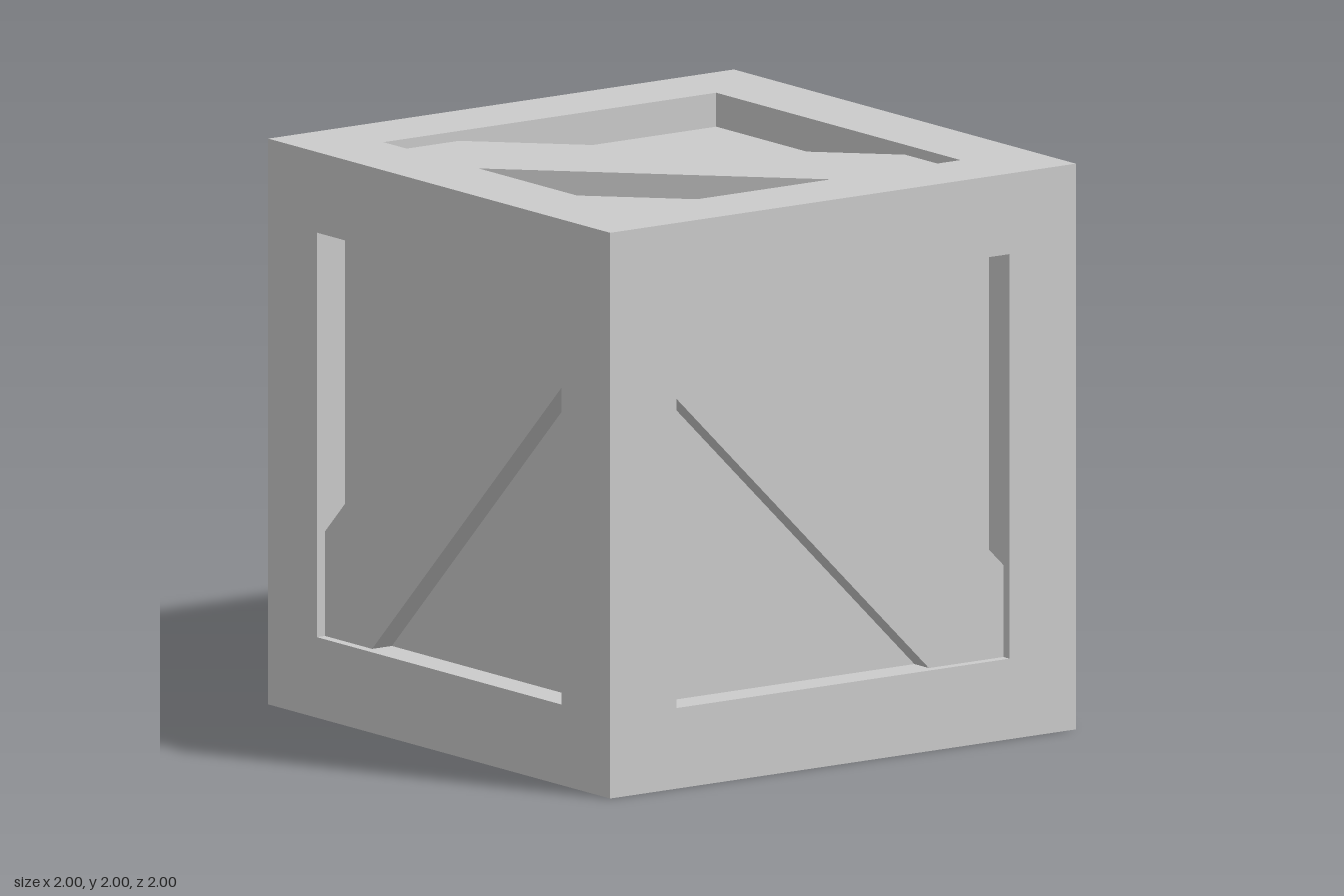
import * as THREE from 'three';

const H = 0.715;      // half width of each opening
const PANEL = 0.88;   // distance of the recessed panel from the centre
const PLANK = 0.965;  // distance of the plank surface from the centre

const material = new THREE.MeshStandardMaterial({ color: 0xcccccc, flatShading: true });

function part(name, geometry) {
  const mesh = new THREE.Mesh(geometry, material);
  mesh.name = name;
  return mesh;
}

// Square rim with the inner walls of its opening: a four-sided lathe
function rimGeometry() {
  const profile = [[1, 1], [H, 1], [H, PANEL]]
    .map(([r, y]) => new THREE.Vector2(r * Math.SQRT2, y));
  return new THREE.LatheGeometry(profile, 4, Math.PI / 4).rotateX(Math.PI / 2);
}

// Diagonal plank trimmed to the opening: lo <= slope * u + v <= hi
function plankGeometry(slope, lo, hi) {
  const corners = [[-H, H], [-H, lo + H], [lo + H, -H], [H, -H], [H, hi - H], [hi - H, H]];
  const shape = new THREE.Shape(corners.map(([u, v]) => new THREE.Vector2(u * slope, v)));
  return new THREE.ExtrudeGeometry(shape, { depth: PLANK - PANEL, bevelEnabled: false })
    .translate(0, 0, PANEL);
}

// One side of the crate, facing +z before it is turned
function crateSide(name, rx, ry, slope, lo, hi) {
  const side = new THREE.Group();
  side.name = name;
  side.add(
    part('rim', rimGeometry()),
    part('panel', new THREE.PlaneGeometry(2 * H, 2 * H).translate(0, 0, PANEL)),
    part('diagonalPlank', plankGeometry(slope, lo, hi)),
  );
  side.rotation.set(rx, ry, 0);
  return side;
}

export function createModel() {
  const crate = new THREE.Group();
  crate.name = 'crate';
  const q = Math.PI / 2;
  const sides = [
    ['frontSide', 0, 0, 1, -0.32, 0.325],
    ['rightSide', 0, q, -1, -0.275, 0.37],
    ['backSide', 0, 2 * q, 1, -0.32, 0.325],
    ['leftSide', 0, -q, -1, -0.275, 0.37],
    ['topSide', -q, 0, 1, -0.32, 0.325],
    ['bottomSide', q, 0, -1, -0.32, 0.32],
  ];
  for (const s of sides) {
    const side = crateSide(...s);
    side.position.y = 1;
    crate.add(side);
  }
  return crate;
}
